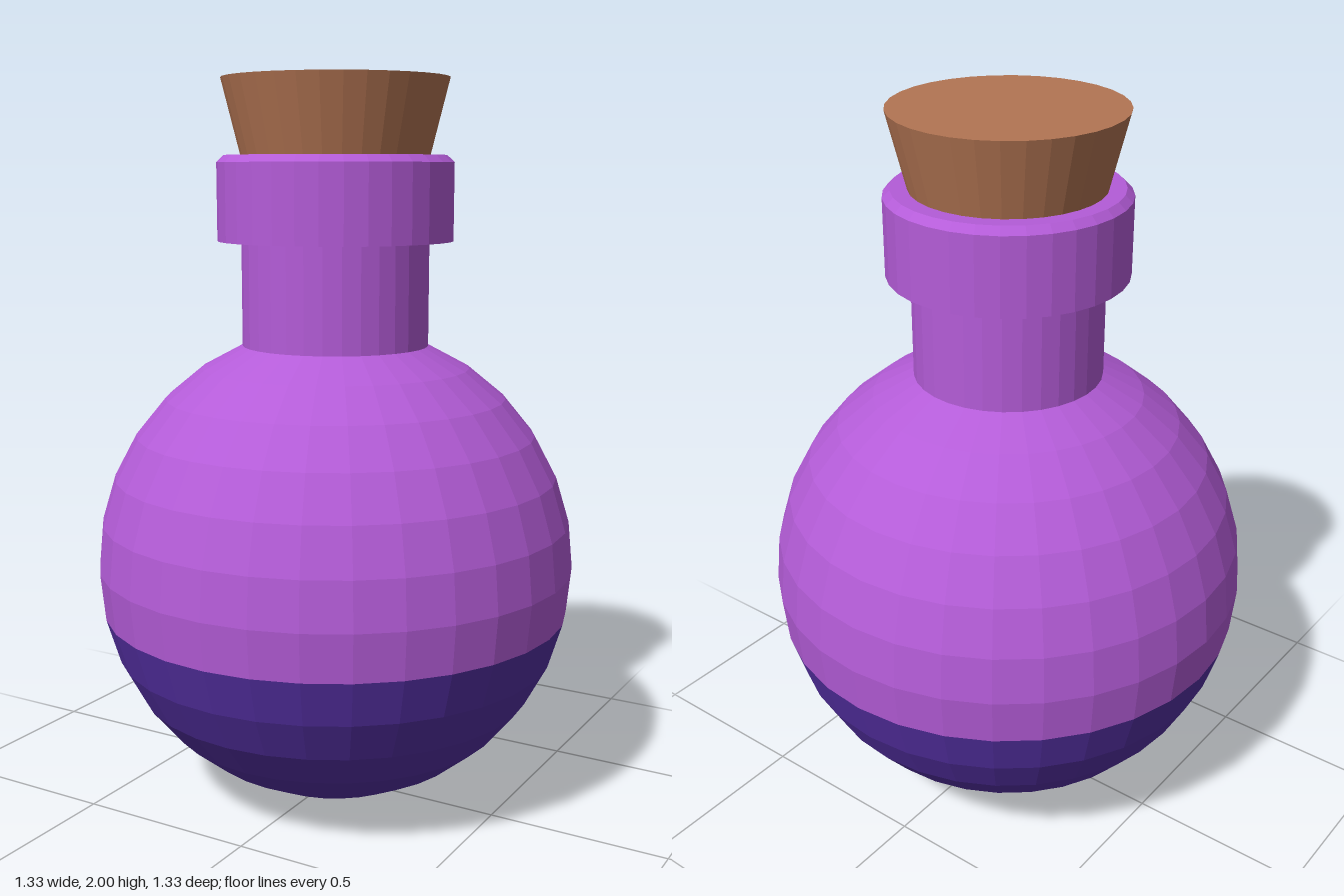
import * as THREE from 'three';

const SIDES = 32;
const R = 0.667; // bulb radius, also its centre height

export function createModel() {
  const group = new THREE.Group();

  const material = (name, color) => {
    const m = new THREE.MeshStandardMaterial({ color, flatShading: true });
    m.name = name;
    return m;
  };
  const glass = material('purple glass', 0xb45cd8);
  const liquid = material('dark violet liquid', 0x5530a4);
  const corkBrown = material('cork brown', 0xb37553);

  // Revolves a profile of [radius, height] pairs, listed from bottom to top on the outside
  const turned = (name, profile, mat) => {
    const points = profile.map(([r, y]) => new THREE.Vector2(r, y));
    const mesh = new THREE.Mesh(new THREE.LatheGeometry(points, SIDES), mat);
    mesh.name = name;
    group.add(mesh);
  };

  // Rings of the bulb, numbered from the bottom pole (0) to the top pole (16)
  const rings = (from, to) => {
    const out = [];
    for (let i = from; i <= to; i++) {
      const a = (i * Math.PI) / 16;
      out.push([R * Math.sin(a), R - R * Math.cos(a)]);
    }
    return out;
  };

  // Round bulb: liquid below, clear glass above, open under the neck
  turned('liquid', rings(0, 7), liquid);
  turned('bulb', rings(7, 14), glass);

  // Straight neck
  turned('neck', [[0.257, 1.28], [0.257, 1.58]], glass);

  // Collar with a small chamfer and a flat rim around the cork
  turned('collar', [
    [0.25, 1.568], [0.322, 1.568], [0.322, 1.778],
    [0.302, 1.797], [0.24, 1.797],
  ], glass);

  // Tapered cork stopper
  turned('cork', [[0, 1.74], [0.243, 1.74], [0.308, 2], [0, 2]], corkBrown);

  return group;
}
